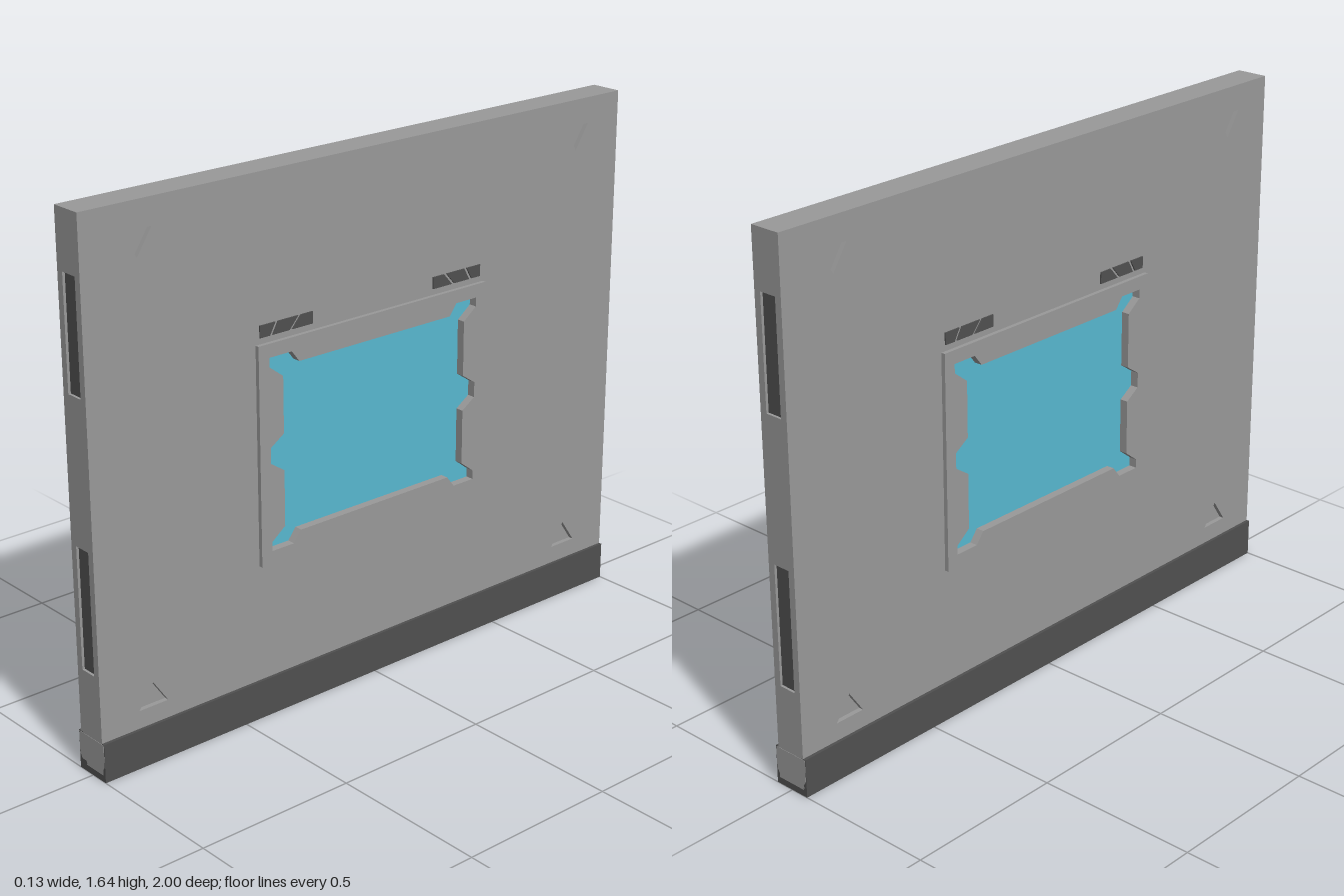
import * as THREE from 'three';

const mat = (name, color) => {
  const m = new THREE.MeshStandardMaterial({ color });
  m.name = name;
  return m;
};

const poly = (pts) => new THREE.Shape(pts.map(([x, y]) => new THREE.Vector2(x, y)));
const rect = (x0, y0, x1, y1) => poly([[x0, y0], [x1, y0], [x1, y1], [x0, y1]]);

export function createModel() {
  const grey = mat('panel grey', 0x999999);
  const dark = mat('dark trim', 0x505050);
  const blue = mat('window blue', 0x58b8d0);
  const root = new THREE.Group();
  root.name = 'wallPanel';

  const H = 1.64, SKIN = 0.015, CORE = 0.035, WIN_Y = 0.817;

  const add = (parent, name, geo, material, x = 0, y = 0, z = 0) => {
    const mesh = new THREE.Mesh(geo, material);
    mesh.name = name;
    mesh.position.set(x, y, z);
    parent.add(mesh);
    return mesh;
  };
  const extrude = (shape, depth) =>
    new THREE.ExtrudeGeometry(shape, { depth, bevelEnabled: false });

  // Window outline: one quarter mirrored into the other three
  const quarter = [[0.289, 0.258], [0.316, 0.293], [0.396, 0.293], [0.396, 0.265],
    [0.348, 0.228], [0.348, 0.056], [0.396, 0.024]];
  const flip = (sx, sy) => quarter.map(([x, y]) => [sx * x, WIN_Y + sy * y]);
  const windowPts = [...flip(1, 1), ...flip(1, -1).reverse(),
    ...flip(-1, -1), ...flip(-1, 1).reverse()];

  // Core, glass and dark floors of the end slots
  add(root, 'core', new THREE.BoxGeometry(CORE * 2, H - 0.02, 1.98), grey, 0, H / 2 + 0.01);
  add(root, 'windowGlass', new THREE.BoxGeometry(0.074, 0.64, 0.84), blue, 0, WIN_Y);

  // Two large faces, identical on both sides
  for (const s of [1, -1]) {
    const side = new THREE.Group();
    side.name = s > 0 ? 'leftFace' : 'rightFace';
    side.rotation.y = s * Math.PI / 2;
    root.add(side);

    const skin = rect(-1, 0.02, 1, H);
    skin.holes.push(poly(windowPts));
    for (const x of [-0.82, 0.82]) {
      skin.holes.push(poly([[x - 0.05, 1.56], [x + 0.05, 1.56], [x, 1.483]]));
      skin.holes.push(poly([[x - 0.05, 0.175], [x + 0.05, 0.175], [x, 0.248]]));
    }
    add(side, 'facePanel', extrude(skin, SKIN), grey, 0, 0, CORE);

    // Raised window frame
    const frame = rect(-0.434, 0.483, 0.434, 1.151);
    frame.holes.push(poly(windowPts));
    add(side, 'windowFrame', extrude(frame, 0.013), grey, 0, 0, 0.05);

    // Slanted marker bars above the window
    for (const m of [-1, 1]) {
      const bars = [
        [[0.42, 1.17], [0.42, 1.206], [0.365, 1.206], [0.385, 1.17]],
        [[0.375, 1.17], [0.355, 1.206], [0.283, 1.206], [0.315, 1.17]],
        [[0.305, 1.17], [0.273, 1.206], [0.23, 1.206], [0.23, 1.17]],
      ];
      for (const b of bars) {
        add(side, 'markerBar', extrude(poly(b.map(([x, y]) => [m * x, y])), 0.004), dark, 0, 0, 0.05);
      }
    }
  }

  // Narrow ends with two recessed slots each
  const slots = [[0.32, 0.692], [1.13, 1.466]];
  for (const s of [1, -1]) {
    const end = new THREE.Group();
    end.name = s > 0 ? 'frontEnd' : 'backEnd';
    end.rotation.y = s > 0 ? 0 : Math.PI;
    root.add(end);

    const plate = rect(-CORE, 0.02, CORE, H);
    for (const [y0, y1] of slots) {
      plate.holes.push(rect(-0.028, y0, 0.028, y1));
      add(end, 'slotFloor', new THREE.BoxGeometry(0.062, y1 - y0 + 0.006, 0.006), dark,
        0, (y0 + y1) / 2, 0.989);
    }
    add(end, 'endPlate', extrude(plate, 0.01), grey, 0, 0, 0.99);

    // Grey cover over the end of the base trim
    const cover = poly([[-0.048, 0.033], [0.048, 0.033], [0.058, 0.05],
      [0.058, 0.118], [-0.058, 0.118], [-0.058, 0.05]]);
    add(end, 'baseEndCover', extrude(cover, 0.003), grey, 0, 0, 0.998);
  }

  // Top strip closing the gap above the core
  add(root, 'topStrip', new THREE.BoxGeometry(CORE * 2, 0.012, 1.98), grey, 0, H - 0.006);

  // Dark base trim
  add(root, 'baseTrim', new THREE.BoxGeometry(0.12, 0.12, 2), dark, 0, 0.06);

  return root;
}
